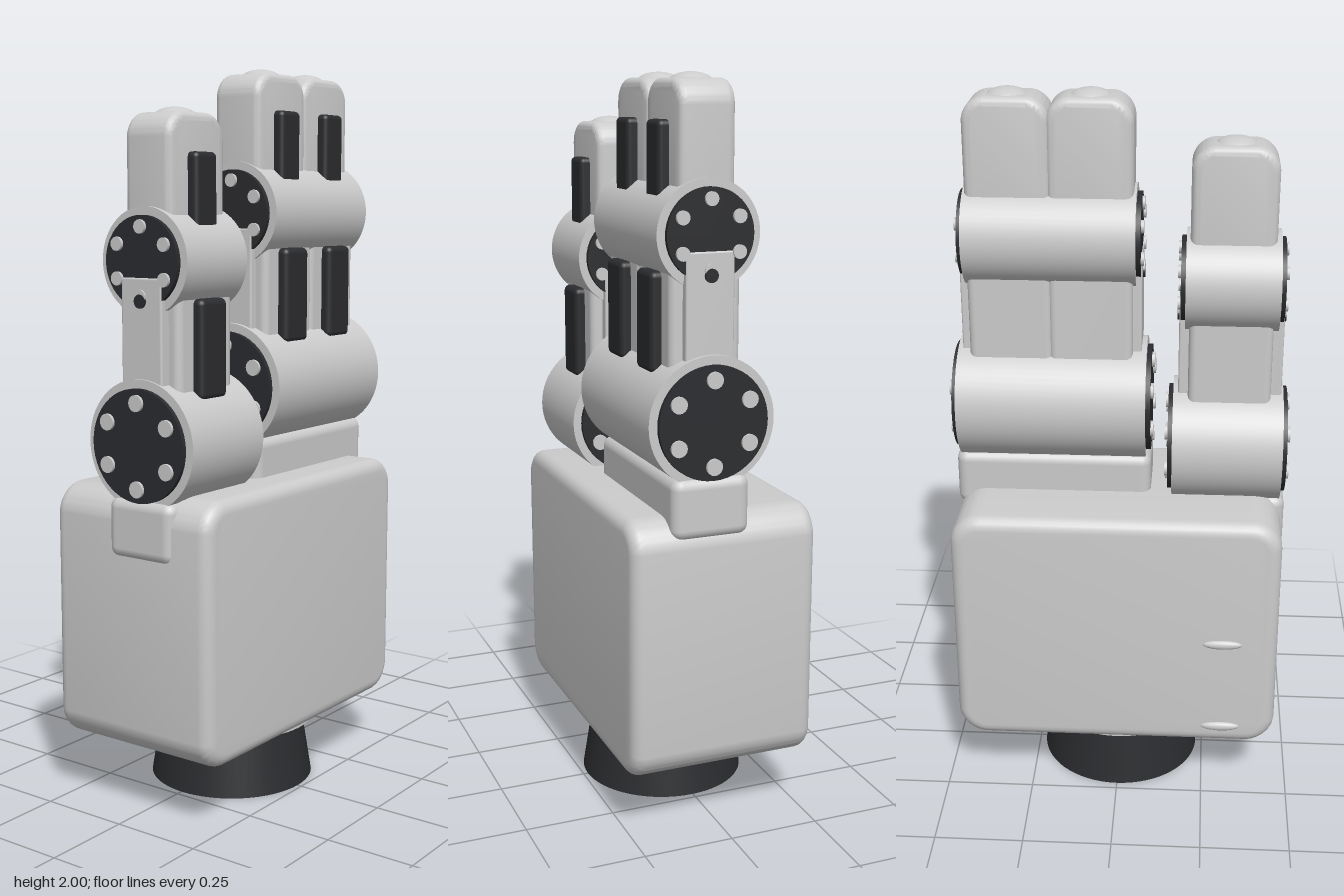
import * as THREE from 'three';
import { toCreasedNormals } from 'three/addons/utils/BufferGeometryUtils.js';
import { RoundedBoxGeometry } from 'three/addons/geometries/RoundedBoxGeometry.js';

const grey = new THREE.MeshStandardMaterial({ color: 0xcccccc });
const dark = new THREE.MeshStandardMaterial({ color: 0x2b2c2f });
const Z = 0.045; // depth of the finger axis

function add(parent, name, geometry, material, x, y, z) {
  const mesh = new THREE.Mesh(geometry, material);
  mesh.name = name;
  mesh.position.set(x, y, z);
  parent.add(mesh);
  return mesh;
}

// Box given by its limits, with one radius on every edge
function roundBox(parent, name, material, [x0, x1], [y0, y1], [z0, z1], radius) {
  const geometry = new RoundedBoxGeometry(x1 - x0, y1 - y0, z1 - z0, 3, radius);
  return add(parent, name, geometry, material, (x0 + x1) / 2, (y0 + y1) / 2, (z0 + z1) / 2);
}

// Block with large corners seen from the front and a smaller bevel in depth
function block(parent, name, [x0, x1], [y0, y1], [z0, z1], corner, bevel) {
  const w = (x1 - x0) / 2 - bevel, h = (y1 - y0) / 2 - bevel, r = corner - bevel;
  const shape = new THREE.Shape();
  shape.absarc(w - r, h - r, r, 0, Math.PI / 2);
  shape.absarc(r - w, h - r, r, Math.PI / 2, Math.PI);
  shape.absarc(r - w, r - h, r, Math.PI, Math.PI * 1.5);
  shape.absarc(w - r, r - h, r, Math.PI * 1.5, Math.PI * 2);
  const depth = z1 - z0 - 2 * bevel;
  const geometry = new THREE.ExtrudeGeometry(shape, {
    depth, bevelThickness: bevel, bevelSize: bevel, bevelSegments: 5, curveSegments: 8,
  });
  geometry.translate(0, 0, -depth / 2);
  return add(parent, name, toCreasedNormals(geometry, 0.6), grey, (x0 + x1) / 2, (y0 + y1) / 2, (z0 + z1) / 2);
}

// Cylinder lying along x
function barX(parent, name, material, radius, x0, x1, y, z, sides = 48) {
  const geometry = new THREE.CylinderGeometry(radius, radius, x1 - x0, sides).rotateZ(Math.PI / 2);
  return add(parent, name, geometry, material, (x0 + x1) / 2, y, z);
}

// Hinge drum with a dark cap and six bolts on each end
function joint(parent, name, x0, x1, y, radius, capRadius, boltRing, boltRadius) {
  const group = new THREE.Group();
  group.name = name;
  parent.add(group);
  barX(group, 'drum', grey, radius, x0, x1, y, Z, 64);
  for (const [end, side] of [[x0, -1], [x1, 1]]) {
    const span = (length) => [end, end + side * length].sort((a, b) => a - b);
    barX(group, 'endCap', dark, capRadius, ...span(0.013), y, Z);
    for (let i = 0; i < 6; i++) {
      const a = Math.PI / 2 + i * Math.PI / 3;
      barX(group, 'capBolt', grey, boltRadius, ...span(0.021),
        y + boltRing * Math.sin(a), Z + boltRing * Math.cos(a), 16);
    }
  }
}

// Finger unit: shared hinges carrying one column per centre, shifted by dy
function fingerUnit(parent, name, centres, dy, knuckleSpan, hingeSpan) {
  const unit = new THREE.Group();
  unit.name = name;
  unit.position.y = dy;
  parent.add(unit);
  const [k0, k1] = knuckleSpan, [h0, h1] = hingeSpan;

  roundBox(unit, 'fingerBase', grey, [k0 - 0.015, k1 + 0.015], [0.835, 1.0], [-0.06, 0.155], 0.03);
  joint(unit, 'knuckle', k0, k1, 1.14, 0.172, 0.149, 0.112, 0.022);
  joint(unit, 'upperHinge', h0, h1, 1.61, 0.139, 0.117, 0.088, 0.018);

  for (const x of centres) {
    // Lower segment and its pad
    roundBox(unit, 'lowerSegment', grey, [x - 0.114, x + 0.114], [1.14, 1.58], [-0.048, 0.145], 0.02);
    roundBox(unit, 'lowerPad', dark, [x - 0.055, x + 0.055], [1.255, 1.515], [0.12, 0.174], 0.016);
    // Fingertip, its pad and its dome
    block(unit, 'fingertip', [x - 0.115, x + 0.115], [1.58, 1.985], [-0.031, 0.121], 0.065, 0.022);
    roundBox(unit, 'tipPad', dark, [x - 0.045, x + 0.045], [1.69, 1.885], [0.1, 0.15], 0.014);
    const dome = add(unit, 'tipDome', new THREE.SphereGeometry(0.06, 32, 16), grey, x, 1.97, Z);
    dome.scale.y = 0.5;
  }

  // Side straps overlapping the upper hinge caps
  for (const [end, side] of [[h0, -1], [h1, 1]]) {
    const inner = end - side * 0.02, outer = end + side * 0.016;
    roundBox(unit, 'sideStrap', grey, [Math.min(inner, outer), Math.max(inner, outer)],
      [1.2, 1.57], [-0.02, 0.112], 0.006);
    const tip = outer + side * 0.006;
    barX(unit, 'strapBolt', dark, 0.018, Math.min(end, tip), Math.max(end, tip), 1.51, Z, 16);
  }
}

export function createModel() {
  const model = new THREE.Group();
  model.name = 'roboticGripperHand';

  // Wrist
  add(model, 'wrist', new THREE.CylinderGeometry(0.2, 0.232, 0.2, 64), dark, 0, 0.1, 0.005);
  add(model, 'wristFlange', new THREE.CylinderGeometry(0.235, 0.235, 0.03, 64), grey, 0, 0.187, 0.005);

  // Palm
  block(model, 'palm', [-0.455, 0.46], [0.18, 0.89], [-0.257, 0.265], 0.085, 0.035);

  // Small raised studs on the back of the palm
  for (const y of [0.24, 0.515]) {
    const stud = add(model, 'backStud', new THREE.SphereGeometry(1, 24, 12), grey, -0.3, y, -0.256);
    stud.scale.set(0.056, 0.014, 0.012);
  }

  // Single finger and the joined pair
  fingerUnit(model, 'singleFinger', [-0.3], -0.12, [-0.45, -0.146], [-0.428, -0.175]);
  fingerUnit(model, 'pairedFingers', [0.08, 0.298], 0, [-0.072, 0.447], [-0.042, 0.418]);
  return model;
}
